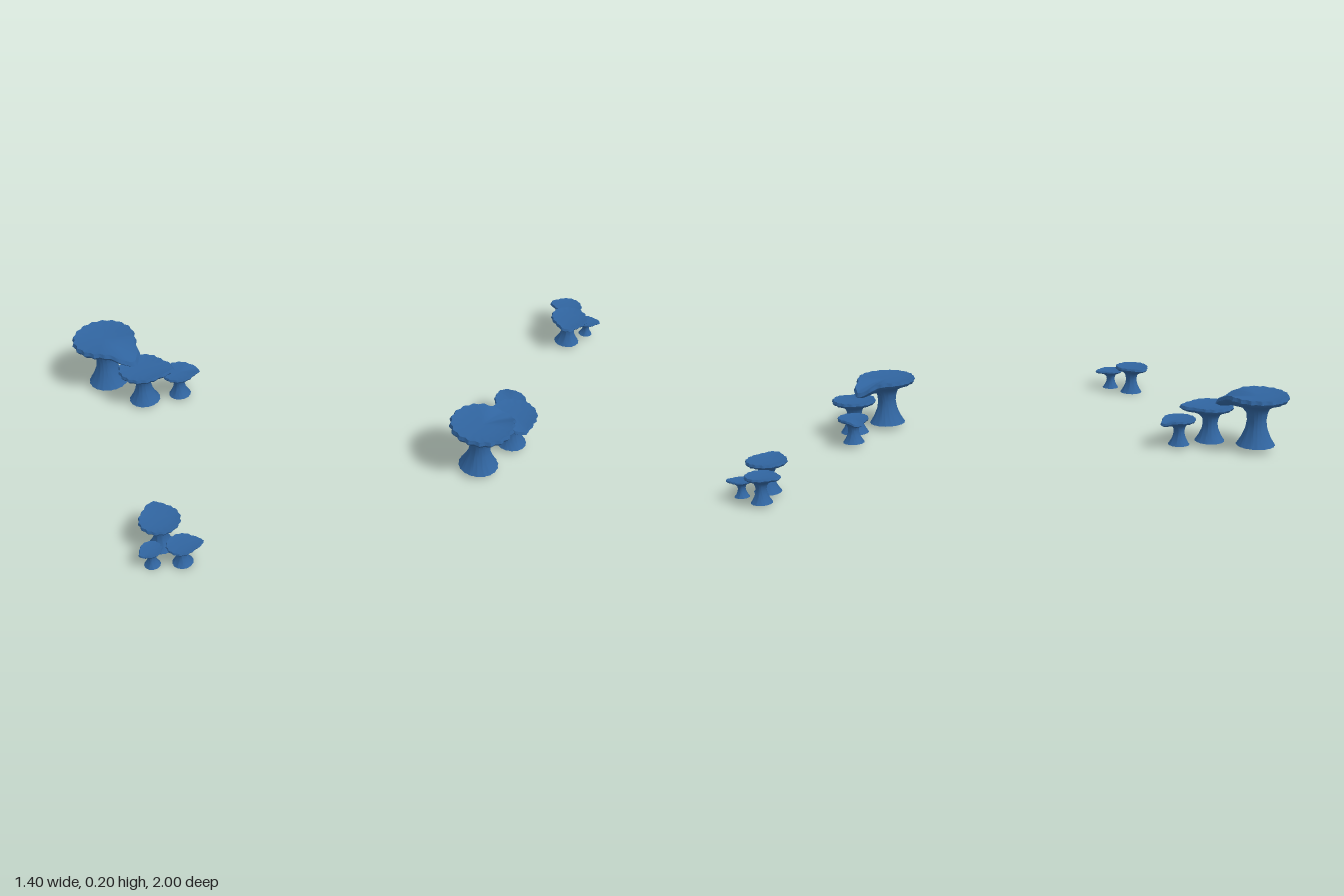
import * as THREE from 'three';
import { toCreasedNormals } from 'three/addons/utils/BufferGeometryUtils.js';

const coralBlue = new THREE.MeshStandardMaterial({ color: 0x30649f });
coralBlue.name = 'coral blue';

// One table coral: flared foot, narrow waist and a scalloped cap drawn out to a tip.
function makeTable({ at, y, foot, cap, tip, droop = 0, lobes = 18 }) {
  const [bottom, top] = y, h = top - bottom;
  const tipX = tip[0] - at[0], tipZ = tip[1] - at[1];
  const tipAngle = Math.atan2(tipX, tipZ);
  const tipExtra = Math.max(0, Math.hypot(tipX, tipZ) - cap);
  const profile = [
    [0, 0], [foot, 0], [foot * 0.94, 0.03 * h], [foot * 0.75, 0.15 * h],
    [foot * 0.56, 0.32 * h], [foot * 0.49, 0.48 * h], [foot * 0.54, 0.62 * h],
    [foot * 0.66, 0.73 * h], [cap * 0.66, 0.81 * h], [cap * 0.93, 0.87 * h],
    [cap, 0.93 * h], [cap * 0.96, h], [cap * 0.85, 0.985 * h],
    [cap * 0.5, 0.965 * h], [0, 0.955 * h],
  ].map(p => new THREE.Vector2(...p));
  const geo = new THREE.LatheGeometry(profile, lobes * 4);
  const p = geo.attributes.position;
  for (let i = 0; i < p.count; i++) {
    const x = p.getX(i), z = p.getZ(i), py = p.getY(i);
    const r = Math.hypot(x, z), a = Math.atan2(x, z);
    const inCap = py > 0.7 * h ? Math.min(1, r / cap) : 0;
    const turn = Math.atan2(Math.sin(a - tipAngle), Math.cos(a - tipAngle));
    const pull = Math.exp(-((turn / 0.42) ** 2)) * inCap ** 2;
    const scallop = 1 + 0.035 * Math.cos(lobes * a) * (inCap > 0 ? inCap ** 2 : 0.5);
    const grown = r * scallop + tipExtra * pull;
    const k = r > 1e-6 ? grown / r : 1;
    p.setXYZ(i, x * k, py - droop * pull, z * k);
  }
  const mesh = new THREE.Mesh(toCreasedNormals(geo, 0.75), coralBlue);
  mesh.position.set(at[0], bottom, at[1]);
  return mesh;
}

// Four clusters of three, largest first; positions are [x, z].
const clusters = {
  leftFrontCluster: [
    { at: [-0.59, 0.557], y: [0.02, 0.205], foot: 0.068, cap: 0.107, tip: [-0.44, 0.525], droop: 0.042 },
    { at: [-0.425, 0.515], y: [0.01, 0.145], foot: 0.053, cap: 0.08, tip: [-0.352, 0.43], lobes: 16 },
    { at: [-0.368, 0.405], y: [0.01, 0.107], foot: 0.038, cap: 0.057, tip: [-0.345, 0.332], droop: 0.012, lobes: 14 },
  ],
  rightCluster: [
    { at: [0.595, -0.112], y: [0.015, 0.19], foot: 0.065, cap: 0.103, tip: [0.6, -0.253], droop: 0.04 },
    { at: [0.588, -0.278], y: [0.015, 0.14], foot: 0.05, cap: 0.077, tip: [0.672, -0.23], droop: 0.01, lobes: 16 },
    { at: [0.503, -0.357], y: [0.013, 0.105], foot: 0.038, cap: 0.054, tip: [0.438, -0.39], droop: 0.01, lobes: 14 },
  ],
  frontCluster: [
    { at: [0.207, 0.882], y: [0, 0.11], foot: 0.043, cap: 0.064, tip: [0.127, 0.857], lobes: 16 },
    { at: [0.31, 0.877], y: [0.002, 0.077], foot: 0.032, cap: 0.046, tip: [0.342, 0.818], lobes: 14 },
    { at: [0.257, 0.952], y: [0, 0.065], foot: 0.025, cap: 0.034, tip: [0.263, 0.995], lobes: 12 },
  ],
  backCluster: [
    { at: [0.318, -0.875], y: [0.01, 0.117], foot: 0.044, cap: 0.065, tip: [0.367, -0.8], lobes: 16 },
    { at: [0.25, -0.95], y: [0.01, 0.1], foot: 0.034, cap: 0.05, tip: [0.19, -0.92], lobes: 14 },
    { at: [0.335, -0.962], y: [0.012, 0.068], foot: 0.024, cap: 0.034, tip: [0.372, -0.995], lobes: 12 },
  ],
};

export function createModel() {
  const model = new THREE.Group();
  model.name = 'tableCorals';
  const sizes = ['largeTable', 'mediumTable', 'smallTable'];
  for (const [name, tables] of Object.entries(clusters)) {
    const group = new THREE.Group();
    group.name = name;
    tables.forEach((spec, i) => {
      const mesh = makeTable(spec);
      mesh.name = sizes[i];
      group.add(mesh);
    });
    model.add(group);
  }
  return model;
}
